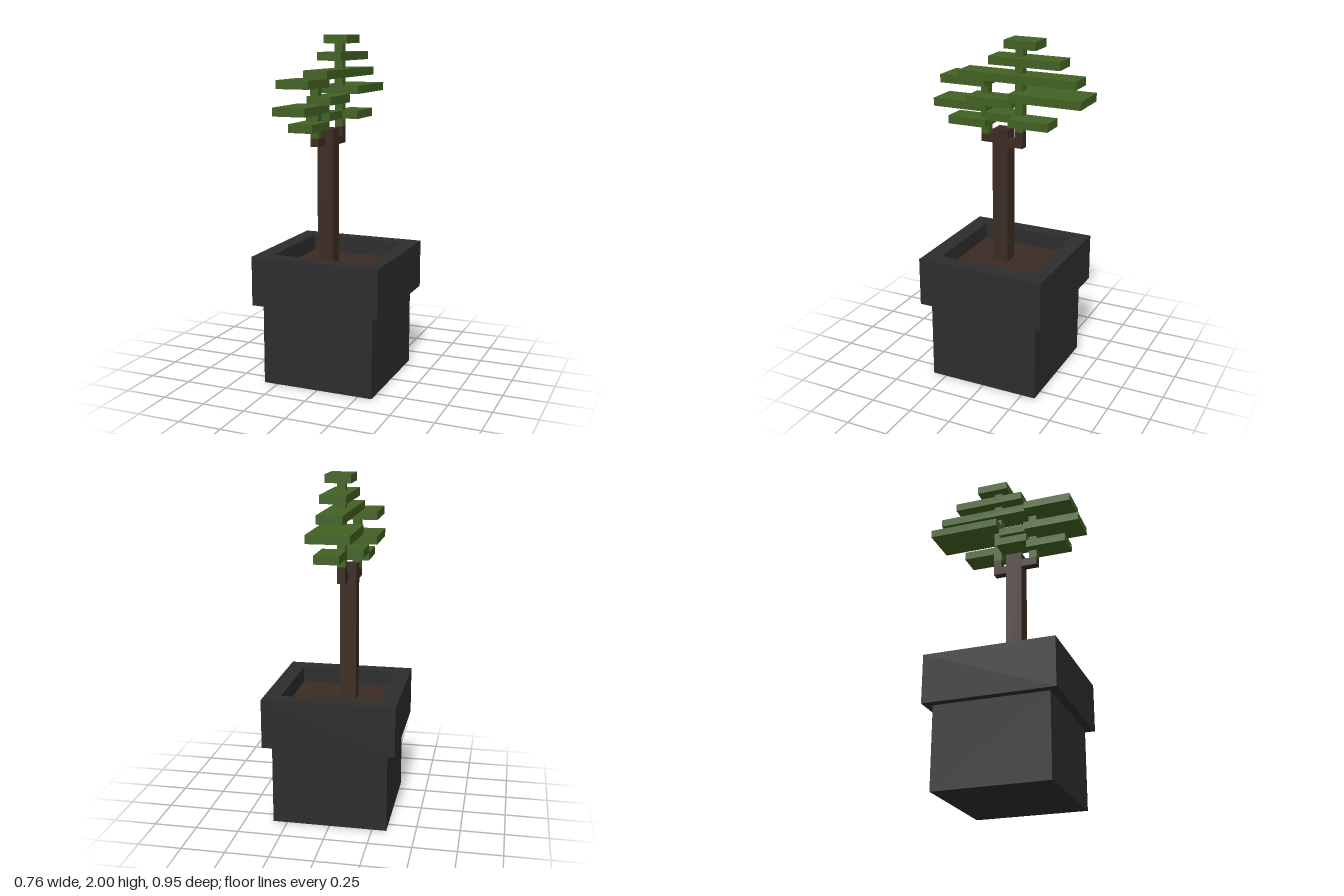
import * as THREE from 'three';

// Everything sits on a block grid: the model is 42 blocks tall.
const U = 2 / 42;

export function createModel() {
  const model = new THREE.Group();
  model.name = 'pottedTree';

  const material = (name, color) => {
    const m = new THREE.MeshStandardMaterial({ color });
    m.name = name;
    return m;
  };
  const potGrey = material('potGrey', 0x2d2d2d);
  const earthBrown = material('earthBrown', 0x3b2c23);
  const leafGreen = material('leafGreen', 0x426223);

  // Box given by its limits in blocks
  const block = (parent, name, mat, [x0, x1], [y0, y1], [z0, z1]) => {
    const geo = new THREE.BoxGeometry((x1 - x0) * U, (y1 - y0) * U, (z1 - z0) * U);
    const mesh = new THREE.Mesh(geo, mat);
    mesh.position.set((x0 + x1) * U / 2, (y0 + y1) * U / 2, (z0 + z1) * U / 2);
    mesh.name = name;
    parent.add(mesh);
  };
  const group = (name) => {
    const g = new THREE.Group();
    g.name = name;
    model.add(g);
    return g;
  };

  // Pot: solid base and a square rim with a sunken opening
  const pot = group('pot');
  block(pot, 'potBase', potGrey, [-7, 7], [0, 10], [-7, 7]);
  const square = (half, Type) => new Type([[-1, -1], [1, -1], [1, 1], [-1, 1]]
    .map(([x, y]) => new THREE.Vector2(x * half * U, y * half * U)));
  const rimShape = square(8, THREE.Shape);
  rimShape.holes.push(square(6, THREE.Path));
  const rimGeo = new THREE.ExtrudeGeometry(rimShape, { depth: 6 * U, bevelEnabled: false });
  rimGeo.rotateX(-Math.PI / 2).translate(0, 10 * U, 0);
  const rim = new THREE.Mesh(rimGeo, potGrey);
  rim.name = 'potRim';
  pot.add(rim);
  block(pot, 'soil', earthBrown, [-6, 6], [10, 14], [-6, 6]);

  // Trunk with one branch to the front and one to the back
  const wood = group('wood');
  block(wood, 'trunk', earthBrown, [-2, 0], [14, 31], [0, 2]);
  block(wood, 'frontBranch', earthBrown, [-2, -1], [29, 30], [2, 4]);
  block(wood, 'backBranch', earthBrown, [-1, 0], [29, 30], [-2, 0]);
  block(wood, 'backBranchTip', earthBrown, [-1, 0], [30, 31], [-2, -1]);

  // Green stems carrying the leaf plates
  const foliage = group('foliage');
  block(foliage, 'frontStem', leafGreen, [-2, -1], [30, 36], [3, 4]);
  block(foliage, 'backStem', leafGreen, [-1, 0], [31, 41], [-2, -1]);

  // Leaf plates, one block thick: bottom level, x limits, z limits
  const plates = [
    [31, [-3, 0], [3, 8]],
    [32, [-3, 0], [-1, 3]],
    [32, [-1, 2], [-6, -1]],
    [33, [-4, 0], [3, 10]],
    [34, [-2, 1], [-1, 5]],
    [35, [-3, 2], [-10, -1]],
    [36, [-4, 0], [3, 9]],
    [37, [-2, 1], [-9, 6]],
    [39, [-2, 1], [-7, 2]],
    [41, [-2, 1], [-4, 0]],
  ];
  plates.forEach(([y, x, z], i) => block(foliage, `leafPlate${i + 1}`, leafGreen, x, [y, y + 1], z));

  return model;
}
